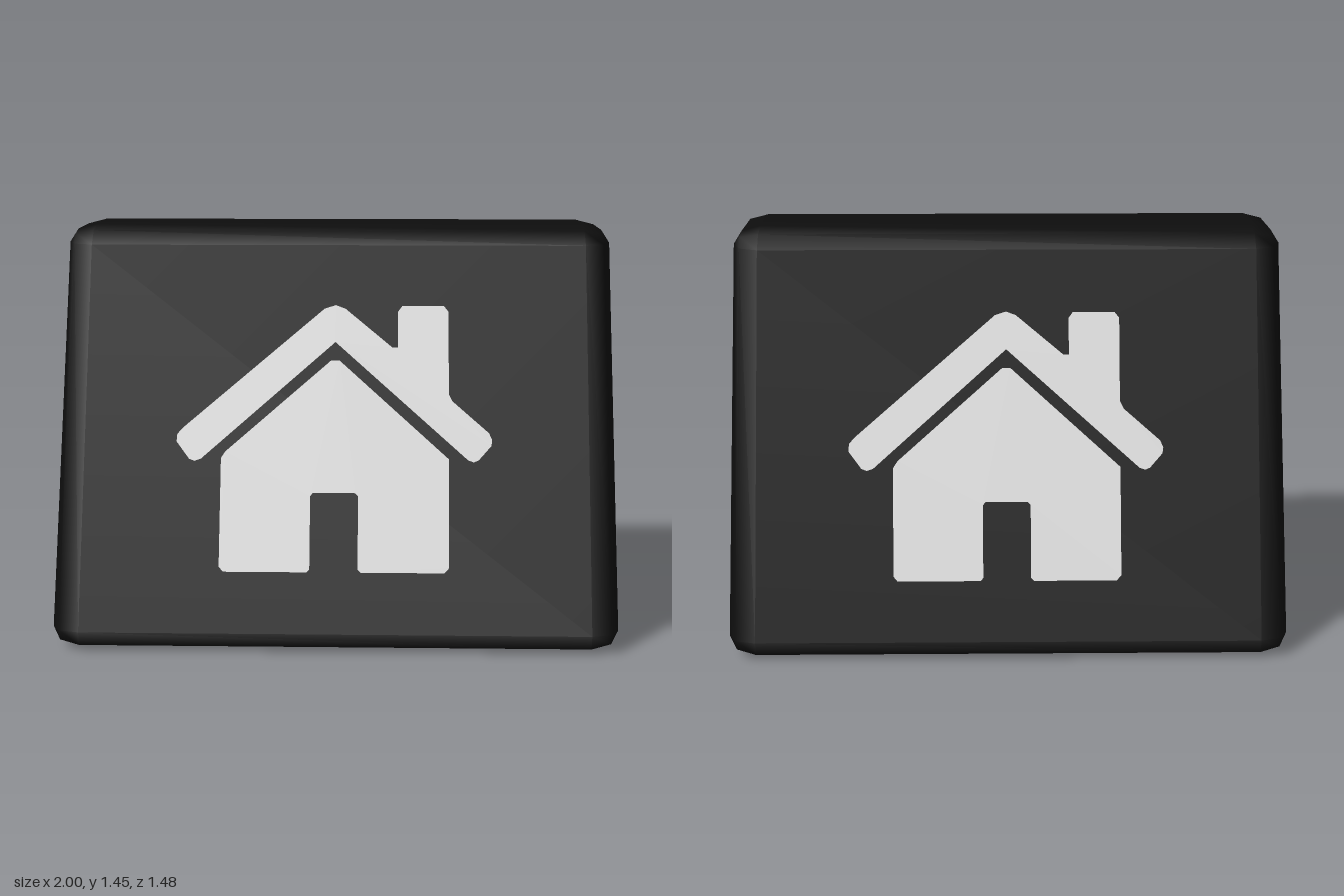
import * as THREE from 'three';
import { mergeVertices } from 'three/addons/utils/BufferGeometryUtils.js';

// Sloping face: depth z at height y
const slopeZ = (y) => 0.74 - (y - 0.07) * 0.3855;

// Tapered block with softly bevelled edges, lofted along x
function bodyGeometry() {
  // Each corner: core point, then bevel points as [z, y]
  const low = { core: [0.67, 0.07], arc: [[0.67, 0], [0.73, 0.02], [0.74, 0.07]] };
  const high = { core: [0.12, 1.38], arc: [[0.235, 1.38], [0.185, 1.428], [0.11, 1.445]] };
  const half = [];
  for (const { core, arc } of [low, high]) for (const p of arc) half.push({ core, p });
  const flip = ([z, y]) => [-z, y];
  const profile = [...half, ...half.slice().reverse().map(({ core, p }) => ({ core: flip(core), p: flip(p) }))];
  const n = profile.length;

  // Rings as [x, spread from the core corners]
  const rings = [[-1, 0], [-0.97, 0.72], [-0.9, 1], [0.9, 1], [0.97, 0.72], [1, 0]];
  const pos = [], index = [];
  for (const [x, t] of rings) {
    for (const { core, p } of profile) {
      pos.push(x, THREE.MathUtils.lerp(core[1], p[1], t), THREE.MathUtils.lerp(core[0], p[0], t));
    }
  }
  for (let r = 0; r < rings.length - 1; r++) {
    for (let i = 0; i < n; i++) {
      const j = (i + 1) % n;
      const a = r * n + i, b = r * n + j, c = a + n, d = b + n;
      const collapsed = Math.floor(i / 3) === Math.floor(j / 3);
      if (!(r === 0 && collapsed)) index.push(a, c, b);
      if (!(r === rings.length - 2 && collapsed)) index.push(b, c, d);
    }
  }
  // End caps: the four core corners
  const e = (rings.length - 1) * n;
  index.push(0, 3, 6, 0, 6, 9, e, e + 6, e + 3, e, e + 9, e + 6);

  const g = new THREE.BufferGeometry();
  g.setAttribute('position', new THREE.Float32BufferAttribute(pos, 3));
  g.setIndex(index);
  const merged = mergeVertices(g);
  merged.computeVertexNormals();
  return merged;
}

// Flat outline laid onto the sloping face
function decalGeometry(points) {
  const g = new THREE.ShapeGeometry(new THREE.Shape(points.map(([x, y]) => new THREE.Vector2(x, y))));
  const p = g.attributes.position;
  for (let i = 0; i < p.count; i++) p.setZ(i, slopeZ(p.getY(i)) + 0.004);
  g.computeVertexNormals();
  return g;
}

export function createModel() {
  const black = new THREE.MeshStandardMaterial({ color: 0x0d0d0d });
  black.name = 'black';
  const white = new THREE.MeshStandardMaterial({ color: 0xffffff });
  white.name = 'white';

  const model = new THREE.Group();
  model.name = 'houseSignBlock';
  const add = (parent, name, geometry, material) => {
    const mesh = new THREE.Mesh(geometry, material);
    mesh.name = name;
    parent.add(mesh);
  };
  add(model, 'body', bodyGeometry(), black);

  // Roof strip with chimney
  const roof = decalGeometry([
    [-0.57, 0.705], [-0.524, 0.647], [-0.505, 0.64], [-0.482, 0.647], [-0.005, 1.045],
    [0.47, 0.647], [0.49, 0.64], [0.508, 0.647], [0.553, 0.695], [0.556, 0.715], [0.545, 0.738],
    [0.415, 0.845], [0.402, 0.87], [0.402, 1.15], [0.385, 1.17], [0.235, 1.17], [0.22, 1.15],
    [0.22, 1.027], [0.2, 1.027], [0.03, 1.16], [-0.005, 1.172], [-0.045, 1.16], [-0.55, 0.75], [-0.568, 0.73],
  ]);
  // Walls with gable and doorway
  const walls = decalGeometry([
    [-0.41, 0.29], [-0.395, 0.273], [-0.1, 0.273], [-0.09, 0.283], [-0.09, 0.525], [-0.08, 0.535],
    [0.07, 0.535], [0.08, 0.525], [0.08, 0.283], [0.09, 0.273], [0.385, 0.273], [0.402, 0.29],
    [0.402, 0.65], [0.01, 0.982], [-0.02, 0.982], [-0.395, 0.672], [-0.41, 0.65],
  ]);

  // The same house on front and back
  for (const [name, turn] of [['frontHouse', 0], ['backHouse', Math.PI]]) {
    const house = new THREE.Group();
    house.name = name;
    house.rotation.y = turn;
    add(house, 'roof', roof, white);
    add(house, 'walls', walls, white);
    model.add(house);
  }
  return model;
}
